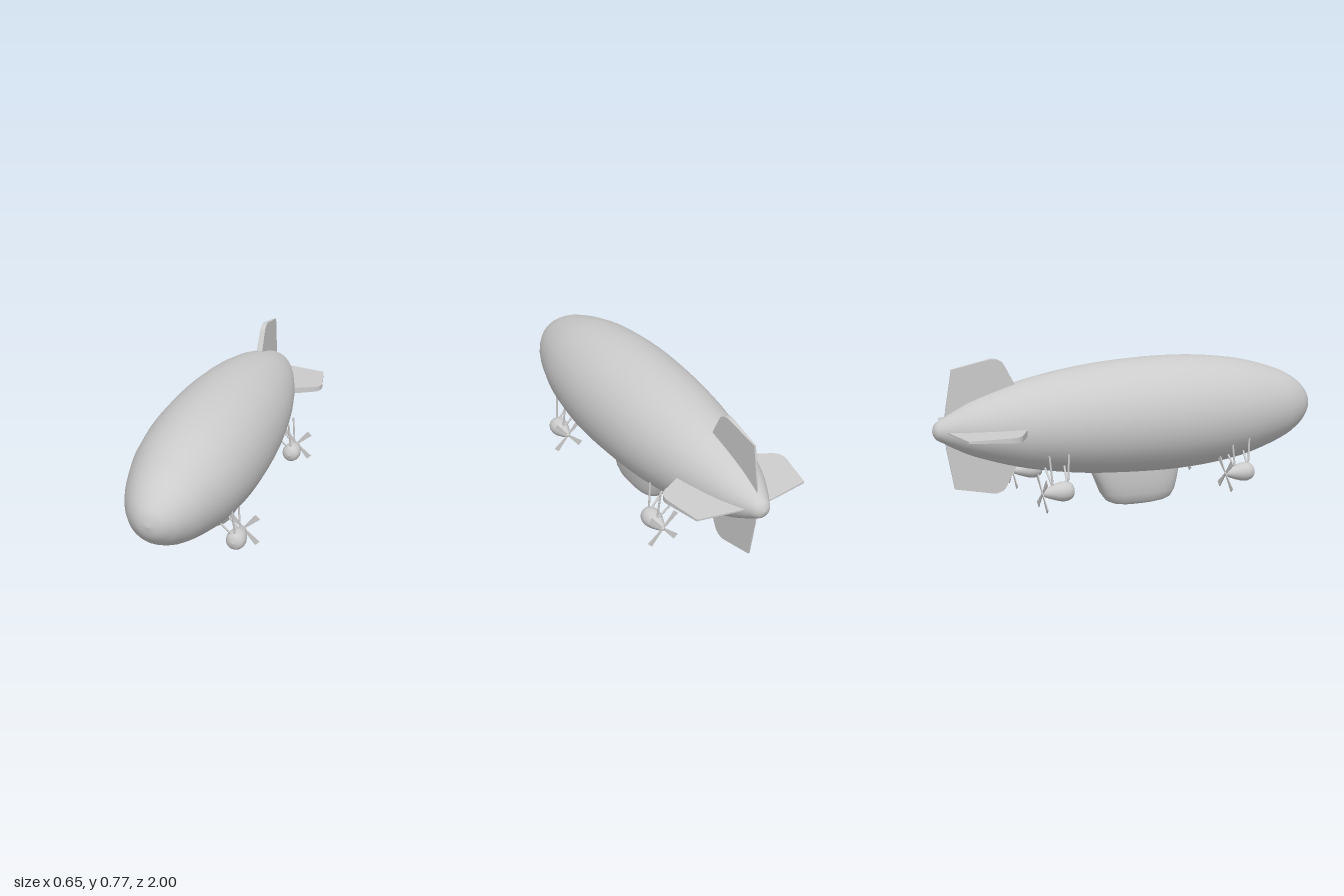
import * as THREE from 'three';
import { mergeVertices } from 'three/addons/utils/BufferGeometryUtils.js';

const AXIS_Y = 0.45;
const material = new THREE.MeshStandardMaterial({ color: 0xcccccc });
const thinMaterial = new THREE.MeshStandardMaterial({ color: 0xcccccc, side: THREE.DoubleSide });

function part(name, geometry, mat = material) {
  const mesh = new THREE.Mesh(geometry, mat);
  mesh.name = name;
  return mesh;
}

// Body of revolution along z from [radius, z] pairs ordered back to front
function spunAlongZ(pairs, rings, sides) {
  const curve = new THREE.SplineCurve(pairs.map(([r, z]) => new THREE.Vector2(r, z)));
  const points = curve.getPoints(rings);
  points.forEach((p) => { p.x = Math.max(p.x, 0); });
  return new THREE.LatheGeometry(points, sides).rotateX(Math.PI / 2);
}

function rod(a, b, radius) {
  const dir = b.clone().sub(a);
  const mesh = part('strut', new THREE.CylinderGeometry(radius, radius, dir.length(), 8));
  mesh.position.copy(a).add(b).multiplyScalar(0.5);
  mesh.quaternion.setFromUnitVectors(new THREE.Vector3(0, 1, 0), dir.normalize());
  return mesh;
}

// Tail fin: outline in (z, height), thick at the leading edge and thin at the trailing edge
function finGeometry() {
  const s = new THREE.Shape();
  s.moveTo(-0.6, 0.12);
  s.lineTo(-0.602, 0.2);
  s.lineTo(-0.65, 0.292);
  s.quadraticCurveTo(-0.667, 0.326, -0.715, 0.323);
  s.lineTo(-0.9, 0.285);
  s.lineTo(-0.935, 0.09);
  s.lineTo(-0.94, 0.03);
  s.closePath();
  const geo = new THREE.ExtrudeGeometry(s, { depth: 1, bevelEnabled: false, curveSegments: 6 });
  geo.translate(0, 0, -0.5).rotateY(-Math.PI / 2);
  const pos = geo.attributes.position;
  for (let i = 0; i < pos.count; i++) {
    const t = (-0.6 - pos.getZ(i)) / 0.34;
    pos.setX(i, pos.getX(i) * THREE.MathUtils.lerp(0.031, 0.006, t));
  }
  geo.computeVertexNormals();
  return geo;
}

// Gondola: rounded-oblong rings, each [y, half width, front z, back z]
function gondolaGeometry() {
  const rows = [
    [0.002, 0, 0.03, 0.03],
    [0.005, 0.045, 0.13, -0.07],
    [0.012, 0.058, 0.175, -0.105],
    [0.026, 0.074, 0.205, -0.135],
    [0.065, 0.089, 0.227, -0.163],
    [0.12, 0.095, 0.24, -0.185],
    [0.18, 0.099, 0.25, -0.21],
    [0.26, 0.099, 0.25, -0.22],
  ];
  const geo = new THREE.LatheGeometry(rows.map((r) => new THREE.Vector2(1, r[0])), 32);
  const pos = geo.attributes.position;
  const round = (v) => Math.sign(v) * Math.pow(Math.abs(v), 0.68);
  for (let i = 0; i < pos.count; i++) {
    const [y, w, front, back] = rows[i % rows.length];
    const x = round(pos.getX(i)) * w;
    const z = (front + back) / 2 + round(pos.getZ(i)) * (front - back) / 2;
    pos.setXYZ(i, x, y, z);
  }
  geo.deleteAttribute('uv');
  geo.deleteAttribute('normal');
  const merged = mergeVertices(geo, 1e-4);
  merged.computeVertexNormals();
  return merged;
}

// Engine pod with four-bladed pusher propeller; origin at the pod's widest ring
function createPod(side) {
  const pod = new THREE.Group();
  pod.name = 'enginePod';
  pod.add(part('podBody', spunAlongZ([
    [0, -0.1], [0.013, -0.09], [0.031, -0.05], [0.046, 0], [0.044, 0.035], [0.03, 0.056], [0, 0.066],
  ], 18, 20)));

  const blade = new THREE.Shape();
  blade.moveTo(-0.004, 0);
  blade.lineTo(0.004, 0);
  blade.lineTo(0.015, 0.099);
  blade.lineTo(-0.015, 0.099);
  blade.closePath();
  const bladeGeo = new THREE.ExtrudeGeometry(blade, { depth: 0.004, bevelEnabled: false });
  for (let i = 0; i < 4; i++) {
    const mesh = part('propellerBlade', bladeGeo);
    mesh.position.z = -0.093;
    mesh.rotation.z = Math.PI / 4 + i * Math.PI / 2;
    pod.add(mesh);
  }

  // Outer and inner struts, front and rear
  for (const [zLow, zHigh] of [[0.035, 0.046], [-0.04, -0.05]]) {
    pod.add(rod(new THREE.Vector3(0, 0.03, zLow), new THREE.Vector3(-side * 0.012, 0.17, zHigh), 0.005));
    pod.add(rod(new THREE.Vector3(-side * 0.012, 0.03, zLow), new THREE.Vector3(-side * 0.08, 0.1, zHigh), 0.005));
  }
  return pod;
}

export function createModel() {
  const model = new THREE.Group();
  model.name = 'airship';

  const hull = part('hull', spunAlongZ([
    [0, -1], [0.035, -0.985], [0.058, -0.95], [0.087, -0.9], [0.135, -0.8], [0.2, -0.6], [0.242, -0.4],
    [0.269, -0.2], [0.283, 0], [0.287, 0.2], [0.277, 0.4], [0.248, 0.6],
    [0.19, 0.8], [0.14, 0.9], [0.1, 0.95], [0.055, 0.985], [0, 1],
  ], 64, 32));
  hull.position.y = AXIS_Y;
  model.add(hull);

  model.add(part('gondola', gondolaGeometry(), thinMaterial));

  const fin = finGeometry();
  for (let i = 0; i < 4; i++) {
    const mesh = part('tailFin', fin, thinMaterial);
    mesh.position.y = AXIS_Y;
    mesh.rotation.z = i * Math.PI / 2;
    model.add(mesh);
  }

  for (const side of [-1, 1]) {
    for (const z of [0.5, -0.455]) {
      const pod = createPod(side);
      pod.position.set(side * 0.235, 0.166, z);
      model.add(pod);
    }
  }
  return model;
}
